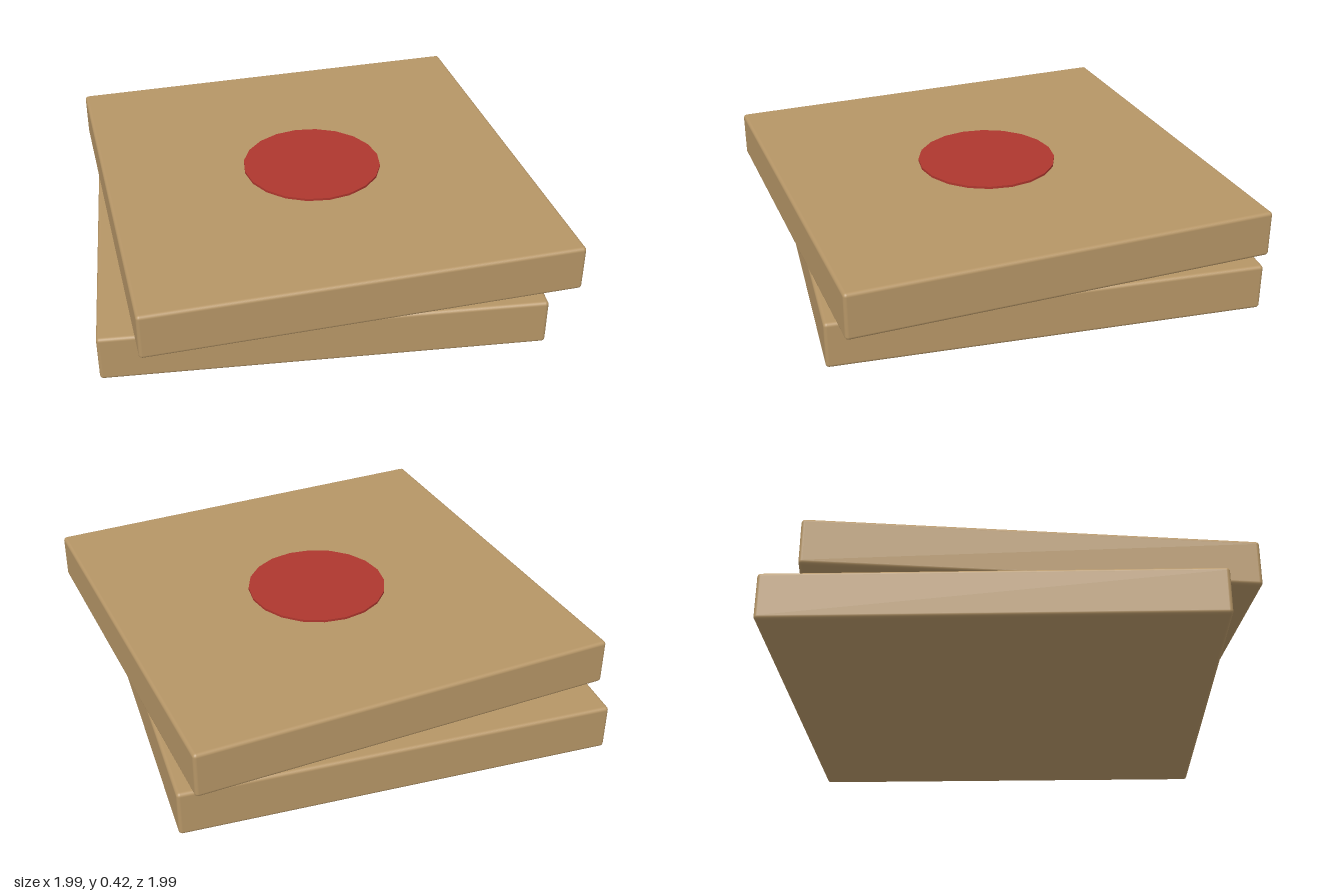
import * as THREE from 'three';
import { RoundedBoxGeometry } from 'three/addons/geometries/RoundedBoxGeometry.js';

const SIZE = 1.795, HEIGHT = 0.198, DISC_RADIUS = 0.299, DISC_HEIGHT = 0.01;

export function createModel() {
  const model = new THREE.Group();
  model.name = 'stackedBoxes';
  const cardboard = new THREE.MeshStandardMaterial({ color: 0xb59566 });
  const red = new THREE.MeshStandardMaterial({ color: 0xae372e });

  // One flat square box with a thin round label on its lid
  function addBox(name, x, y, z, turn) {
    const group = new THREE.Group();
    group.name = name;
    const box = new THREE.Mesh(new RoundedBoxGeometry(SIZE, HEIGHT, SIZE, 3, 0.015), cardboard);
    box.name = name + 'Body';
    box.position.y = HEIGHT / 2;
    const label = new THREE.Mesh(new THREE.CylinderGeometry(DISC_RADIUS, DISC_RADIUS, DISC_HEIGHT, 20), red);
    label.name = name + 'Label';
    label.position.y = HEIGHT + DISC_HEIGHT / 2;
    group.add(box, label);
    group.position.set(x, y, z);
    group.rotation.y = turn;
    model.add(group);
  }

  // The lower box is offset; the upper one is slightly twisted
  addBox('lowerBox', -0.051, 0, -0.051, 0);
  addBox('upperBox', 0, HEIGHT + DISC_HEIGHT, 0, 0.12);
  return model;
}
